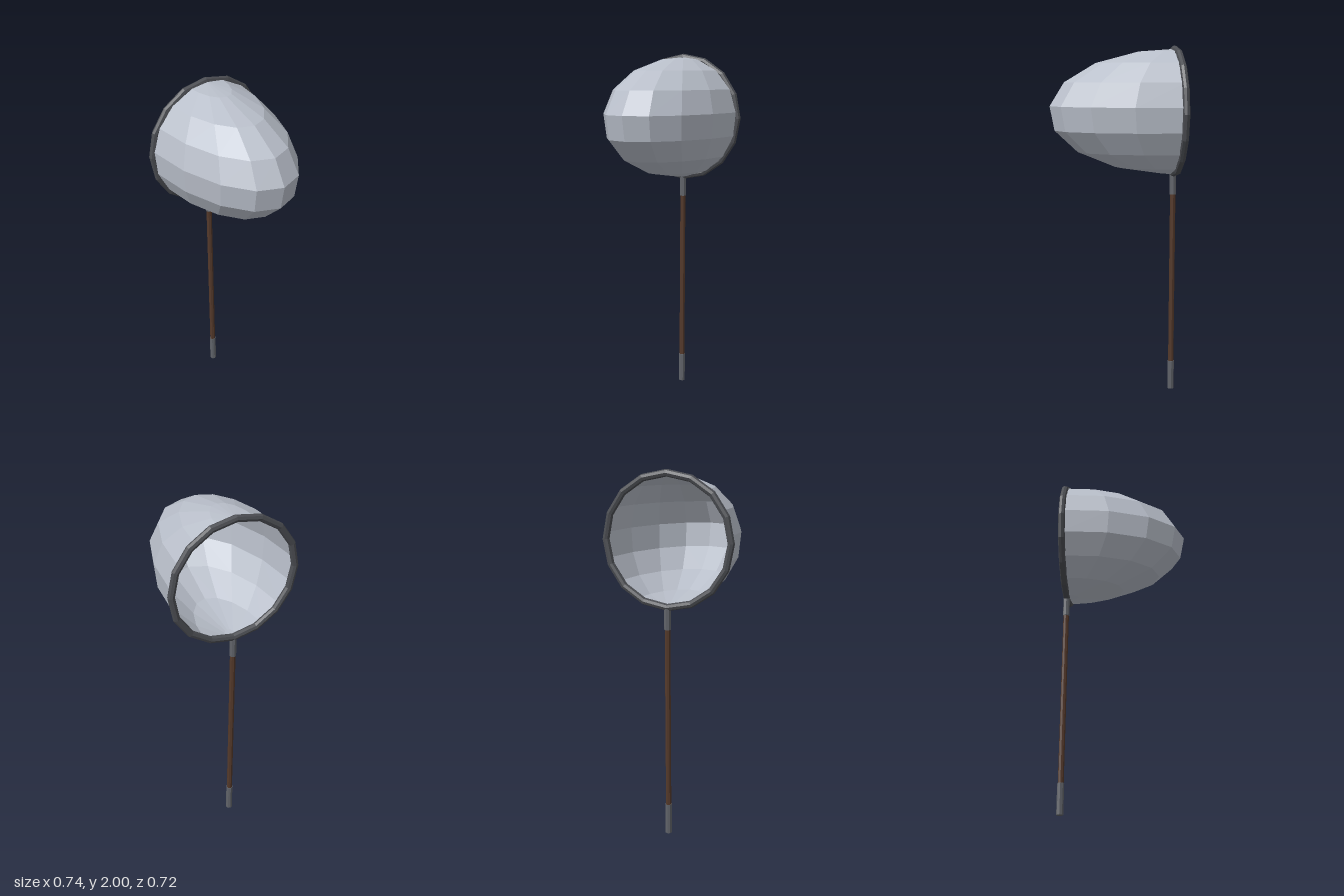
import * as THREE from 'three';

const RIM_Y = 1.6325, RIM_Z = -0.342, RIM_R = 0.348;

function material(color, side = THREE.FrontSide) {
  return new THREE.MeshStandardMaterial({ color, side, flatShading: true });
}

function part(name, geometry, mat, x, y, z) {
  const mesh = new THREE.Mesh(geometry, mat);
  mesh.name = name;
  mesh.position.set(x, y, z);
  return mesh;
}

// Deep half-ellipsoid pouch, open at the back; its rows are slightly offset towards the top.
function bagGeometry() {
  const cols = 8, rows = 9, depth = 0.702;
  const geo = new THREE.PlaneGeometry(1, 1, cols, rows);
  const pos = geo.attributes.position;
  const step = Math.PI / 8, offset = 0.102;
  for (let i = 0; i < pos.count; i++) {
    const col = i % (cols + 1), row = Math.floor(i / (cols + 1));
    const theta = THREE.MathUtils.clamp(row * step - offset, 0, Math.PI);
    const phi = (col / cols - 0.5) * Math.PI;
    pos.setXYZ(i,
      RIM_R * Math.sin(theta) * Math.sin(phi),
      RIM_R * Math.cos(theta),
      depth * Math.sin(theta) * Math.cos(phi));
  }
  geo.computeVertexNormals();
  return geo;
}

// Upright eight-sided rod between two heights
function rod(name, radius, y0, y1, mat) {
  const geo = new THREE.CylinderGeometry(radius, radius, y1 - y0, 8);
  return part(name, geo, mat, 0, (y0 + y1) / 2, RIM_Z);
}

export function createModel() {
  const model = new THREE.Group();
  model.name = 'handNet';

  const metal = material(0x606369);
  model.add(
    part('bag', bagGeometry(), material(0xb9bfca, THREE.DoubleSide), 0, RIM_Y, RIM_Z),
    part('hoop', new THREE.TorusGeometry(RIM_R, 0.0195, 8, 16), material(0x4b4d52), 0, RIM_Y, RIM_Z),
    rod('ferrule', 0.019, 1.165, 1.28, metal),
    rod('pole', 0.016, 0.15, 1.18, material(0x54392a)),
    rod('grip', 0.019, 0, 0.17, metal),
  );
  return model;
}
